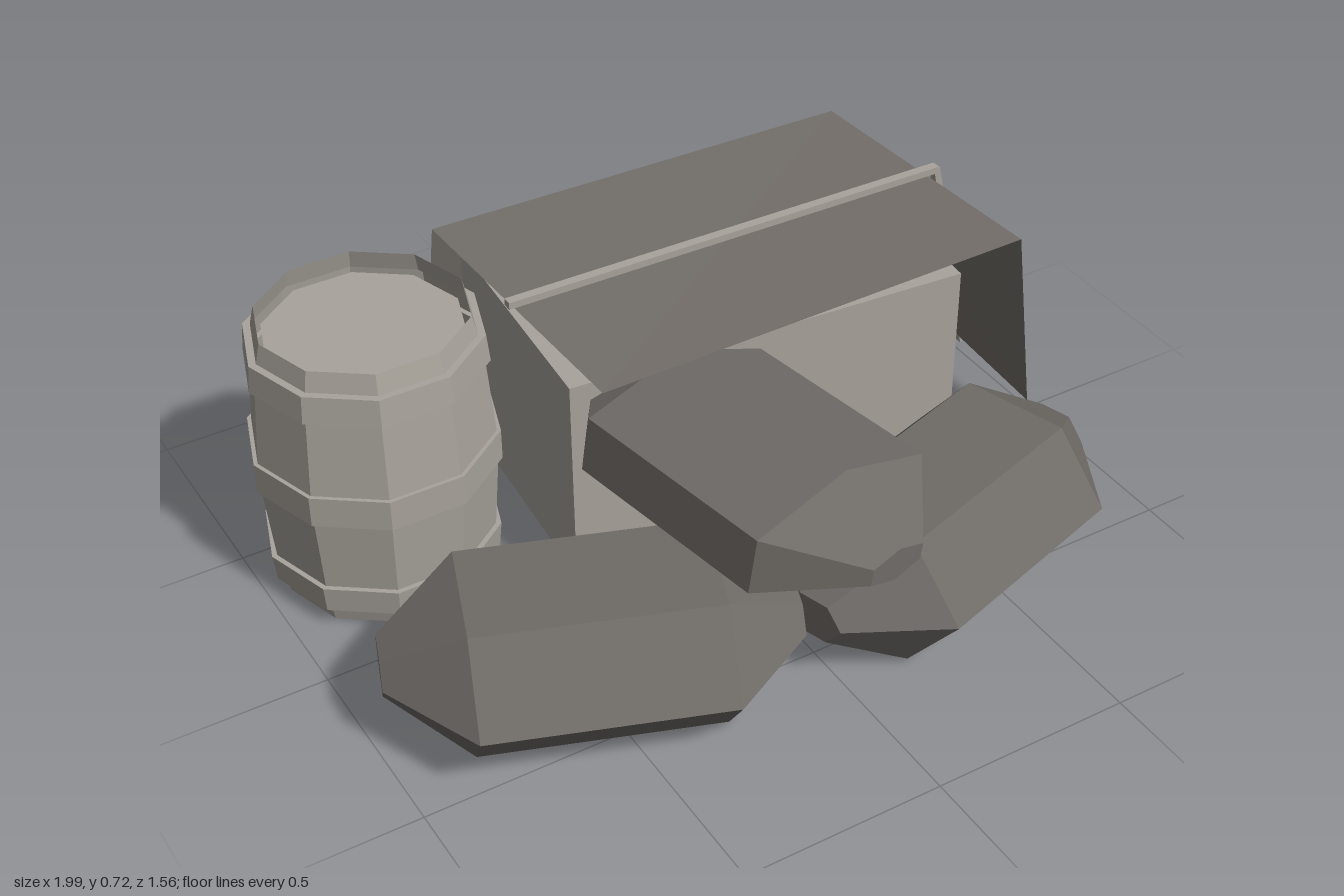
import * as THREE from 'three';

const material = (name, color, side = THREE.FrontSide) => {
  const m = new THREE.MeshStandardMaterial({ color, side, flatShading: true });
  m.name = name;
  return m;
};

export function createModel() {
  const group = new THREE.Group();
  const wood = material('weathered wood', 0xa8a39b, THREE.DoubleSide);
  const cloth = material('canvas', 0x736e69, THREE.DoubleSide);
  const sacking = material('sacking', 0x6f6b67);

  const add = (name, geometry, mat, x = 0, y = 0, z = 0, turn = 0) => {
    const mesh = new THREE.Mesh(geometry, mat);
    mesh.name = name;
    mesh.position.set(x, y, z);
    mesh.rotation.y = turn;
    group.add(mesh);
    return mesh;
  };

  // Barrel: ten sides, raised hoops, open underneath, recessed lid
  const half = [[0.25, 0], [0.262, 0.05], [0.28, 0.05], [0.287, 0.12], [0.274, 0.12], [0.29, 0.32], [0.3, 0.32]];
  const profile = [...half, ...half.map(([r, y]) => [r, 0.72 - y]).reverse()]
    .map(([r, y]) => new THREE.Vector2(r, y));
  add('barrel', new THREE.LatheGeometry(profile, 10), wood, -0.695, 0, -0.33, Math.PI / 2);
  const lid = new THREE.CircleGeometry(0.238, 10).rotateX(-Math.PI / 2);
  add('barrelLid', lid, wood, -0.695, 0.67, -0.33);

  // Crate: open underneath
  const crate = new THREE.BoxGeometry(1.04, 0.56, 0.652);
  const index = Array.from(crate.index.array);
  index.splice(18, 6);
  crate.setIndex(index);
  crate.clearGroups();
  add('crate', crate, wood, 0.205, 0.28, -0.305, -0.077);

  // Canvas sheet: a top with flaps over the right end and the back
  const panel = (name, a, b, c, d) => {
    const g = new THREE.BufferGeometry();
    g.setAttribute('position', new THREE.Float32BufferAttribute([a, b, c, a, c, d].flat(), 3));
    g.computeVertexNormals();
    add(name, g, cloth);
  };
  const frontLeft = [-0.32, 0.62, 0.105], frontRight = [0.86, 0.615, 0.08];
  const backRight = [0.82, 0.605, -0.69], backLeft = [-0.35, 0.625, -0.69];
  panel('sheetTop', frontLeft, frontRight, backRight, backLeft);
  panel('sheetEndFlap', [0.93, 0.1, 0.08], [0.9, 0.19, -0.69], backRight, frontRight);
  panel('sheetBackFlap', [0.82, 0.1, -0.775], [-0.35, 0.22, -0.775], backLeft, backRight);

  // Strap: one strip over the sheet, one hanging down the end
  const strip = (name, x0, y0, x1, y1) => {
    const length = Math.hypot(x1 - x0, y1 - y0);
    const mesh = add(name, new THREE.BoxGeometry(length, 0.018, 0.024), wood,
      (x0 + x1) / 2, (y0 + y1) / 2, -0.285);
    mesh.rotation.z = Math.atan2(y1 - y0, x1 - x0);
  };
  strip('strapTop', -0.355, 0.643, 0.865, 0.626);
  strip('strapEnd', 0.862, 0.63, 0.988, 0.052);

  // Sacks: six-sided, tapering to a small flat cap at each end
  const sack = (name, [x, y, z], turn, halfWidth, halfHeight, roll = 0) => {
    const outline = [[0, -0.47], [0.3, -0.47], [1, -0.283], [1, 0.283], [0.3, 0.47], [0, 0.47]]
      .map(([r, h]) => new THREE.Vector2(r, h));
    const g = new THREE.LatheGeometry(outline, 6)
      .rotateZ(-Math.PI / 2)
      .rotateX(roll)
      .scale(1, halfHeight, halfWidth);
    add(name, g, sacking, x, y, z, turn);
  };
  const flat = Math.sin(Math.PI / 3);
  sack('rightSack', [-0.512, 0.19, 0.372], -0.35, 0.29, 0.175 / flat);
  sack('leftSack', [0.4, 0.178, 0.422], 0.3, 0.27, 0.173 / flat);
  sack('upperSack', [-0.06, 0.457, 0.307], -1.4, 0.285, 0.133, 0.44);

  return group;
}
